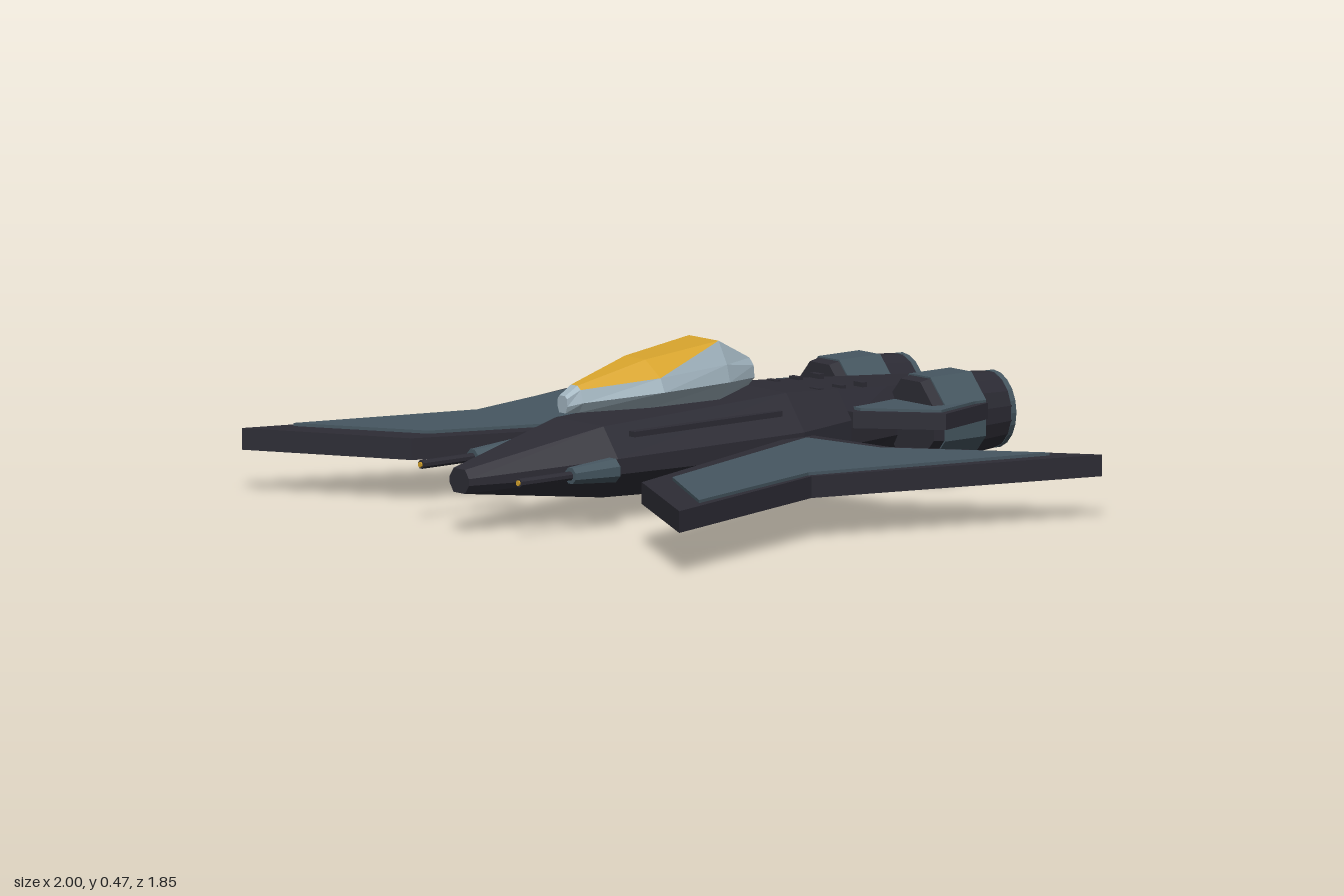
import * as THREE from 'three';

const paint = (name, color) => Object.assign(new THREE.MeshStandardMaterial({ color }), { name });

// faceted normals
function facet(geo) {
  const g = geo.index ? geo.toNonIndexed() : geo;
  g.computeVertexNormals();
  return g;
}

// Flat plate from an [x, z] outline, lying between heights y0 and y1
function plate(points, y0, y1) {
  const shape = new THREE.Shape(points.map(([x, z]) => new THREE.Vector2(x, -z)));
  const g = new THREE.ExtrudeGeometry(shape, { depth: y1 - y0, bevelEnabled: false });
  return g.rotateX(-Math.PI / 2).translate(0, y0, 0);
}

// Faceted tube along z from zBack to zFront
function barrel(rFront, rBack, zFront, zBack, sides) {
  const g = new THREE.CylinderGeometry(rFront, rBack, zFront - zBack, sides, 1, false, Math.PI / sides);
  return facet(g.rotateX(Math.PI / 2).translate(0, 0, (zFront + zBack) / 2));
}

// Mirrored loft: sections run front to back as [z, [x, y]...], half profile from bottom to top.
// isAlt(section, strip, triangle) chooses the second material.
function loft(sections, isAlt = () => false) {
  const tris = [[], []];
  const put = (alt, a, b, c) => {
    const flip = ([x, y, z]) => [-x, y, z];
    tris[alt ? 1 : 0].push(...a, ...b, ...c, ...flip(a), ...flip(c), ...flip(b));
  };
  const rings = sections.map(([z, ...p]) =>
    [[0, p[0][1]], ...p, [0, p[p.length - 1][1]]].map(([x, y]) => [x, y, z]));
  for (let i = 0; i < rings.length - 1; i++) {
    const f = rings[i], b = rings[i + 1];
    for (let j = 0; j < f.length - 1; j++) {
      put(isAlt(i, j, 0), f[j], b[j + 1], f[j + 1]);
      put(isAlt(i, j, 1), f[j], b[j], b[j + 1]);
    }
  }
  const first = rings[0], last = rings[rings.length - 1];
  for (let j = 1; j < first.length - 1; j++) {
    put(false, first[0], first[j], first[j + 1]);
    put(false, last[0], last[j + 1], last[j]);
  }
  const g = new THREE.BufferGeometry();
  g.setAttribute('position', new THREE.Float32BufferAttribute([...tris[0], ...tris[1]], 3));
  g.addGroup(0, tris[0].length / 3, 0);
  g.addGroup(tris[0].length / 3, tris[1].length / 3, 1);
  g.computeVertexNormals();
  return g;
}

export function createModel() {
  const dark = paint('dark hull', 0x2d2c35);
  const slate = paint('slate panel', 0x465761);
  const pale = paint('pale grey', 0x9fb2bd);
  const amber = paint('amber', 0xd6a32c);

  const model = new THREE.Group();
  model.name = 'starfighter';
  const add = (name, geo, mat, parent = model) => {
    const m = new THREE.Mesh(geo, mat);
    m.name = name;
    parent.add(m);
    return m;
  };
  const box = (w, h, d, x, y, z) => new THREE.BoxGeometry(w, h, d).translate(x, y, z);

  // Fuselage
  add('fuselage', loft([
    [0.925, [0.025, 0.12], [0.042, 0.145], [0.042, 0.165], [0.025, 0.19]],
    [0.47, [0.1, 0.07], [0.17, 0.145], [0.17, 0.19], [0.105, 0.277]],
    [-0.2, [0.12, 0.045], [0.21, 0.14], [0.21, 0.2], [0.13, 0.305]],
    [-0.4, [0.11, 0.055], [0.185, 0.14], [0.185, 0.21], [0.125, 0.293]],
    [-0.6, [0.1, 0.065], [0.145, 0.14], [0.145, 0.22], [0.11, 0.28]],
    [-0.9, [0.075, 0.09], [0.1, 0.13], [0.1, 0.23], [0.085, 0.26]],
  ]), dark);

  // Canopy: pale frame with amber glass on the upper facets
  const glass = (i, j, t) => (i === 1 && j >= 3) || (i === 2 && (j === 4 || (j === 3 && t === 0)));
  add('canopy', loft([
    [0.535, [0.014, 0.31], [0.022, 0.33], [0.02, 0.352], [0.012, 0.36]],
    [0.49, [0.02, 0.308], [0.04, 0.338], [0.028, 0.375], [0.014, 0.386]],
    [0.26, [0.07, 0.304], [0.13, 0.355], [0.112, 0.395], [0.045, 0.441]],
    [0, [0.07, 0.3], [0.115, 0.355], [0.102, 0.405], [0.065, 0.47]],
    [-0.13, [0.045, 0.325], [0.072, 0.35], [0.068, 0.385], [0.05, 0.405]],
  ], glass), [pale, amber]);

  // Belly pod
  add('bellyPod', box(0.19, 0.045, 0.3, 0, 0.037, -0.13), dark);

  for (const s of [1, -1]) {
    const side = new THREE.Group();
    side.name = s > 0 ? 'leftSide' : 'rightSide';
    model.add(side);
    const mirror = pts => pts.map(([x, z]) => [s * x, z]);

    // Wing with inset panel
    add('wing', plate(mirror([[0.19, -0.235], [0.5, -0.27], [1, -0.645], [0.745, 0.235],
      [0.96, 0.92], [0.505, 0.67], [0.19, -0.16]]), 0.124, 0.187), dark, side);
    add('wingPanel', plate(mirror([[0.26, -0.165], [0.53, -0.21], [0.914, -0.52], [0.727, 0.23],
      [0.89, 0.785], [0.535, 0.58]]), 0.187, 0.196), slate, side);

    // Rear fin with inset panel
    add('rearFin', plate(mirror([[0.1, -0.4], [0.19, -0.4], [0.39, -0.58], [0.32, -0.8], [0.1, -0.8]]),
      0.188, 0.235), dark, side);
    add('rearFinPanel', plate(mirror([[0.13, -0.43], [0.19, -0.43], [0.365, -0.585], [0.305, -0.78], [0.13, -0.78]]),
      0.235, 0.243), slate, side);

    // Engine, slightly taller than wide
    const engine = new THREE.Group();
    engine.name = 'engine';
    engine.position.set(s * 0.2, 0.19, 0);
    engine.scale.set(0.88, 1, 1);
    side.add(engine);
    add('engineCollar', barrel(0.125, 0.133, -0.61, -0.65, 8), dark, engine);
    add('engineCasing', barrel(0.137, 0.137, -0.645, -0.8, 8), slate, engine);
    add('engineNozzle', barrel(0.122, 0.112, -0.79, -0.91, 16), dark, engine);
    const ring = new THREE.Shape().absarc(0, 0, 0.113, 0, Math.PI * 2);
    ring.holes.push(new THREE.Path().absarc(0, 0, 0.088, 0, Math.PI * 2, true));
    add('exhaustRing', new THREE.ExtrudeGeometry(ring, { depth: 0.018, bevelEnabled: false, curveSegments: 10 })
      .translate(0, 0, -0.925), slate, engine);
    add('exhaustGlow', barrel(0.06, 0.06, -0.905, -0.917, 16), amber, engine);
    for (let i = 0; i < 12; i++) {
      add('exhaustVane', box(0.022, 0.012, 0.01, 0.079, 0, -0.914).rotateZ(i * Math.PI / 6), slate, engine);
    }

    // Cannon
    const gun = new THREE.Group();
    gun.name = 'cannon';
    gun.position.set(s * 0.215, 0.171, 0);
    side.add(gun);
    add('cannonBody', barrel(0.025, 0.037, 0.69, 0.53, 8), slate, gun);
    add('cannonBarrel', barrel(0.013, 0.013, 0.885, 0.68, 8), dark, gun);
    add('cannonTip', barrel(0.008, 0.008, 0.89, 0.88, 8), amber, gun);

    // Hull strake, top vents and belly rail
    add('strake', box(0.025, 0.016, 0.56, s * 0.16, 0.255, 0.13), dark, side);
    for (const z of [-0.345, -0.43, -0.51]) {
      add('topVent', box(0.04, 0.024, 0.018, s * 0.095, 0.288, z), dark, side);
    }
    add('bellyRail', barrel(0.01, 0.01, -0.04, -0.22, 8).translate(s * 0.108, 0.01, 0), slate, side);
  }
  return model;
}
